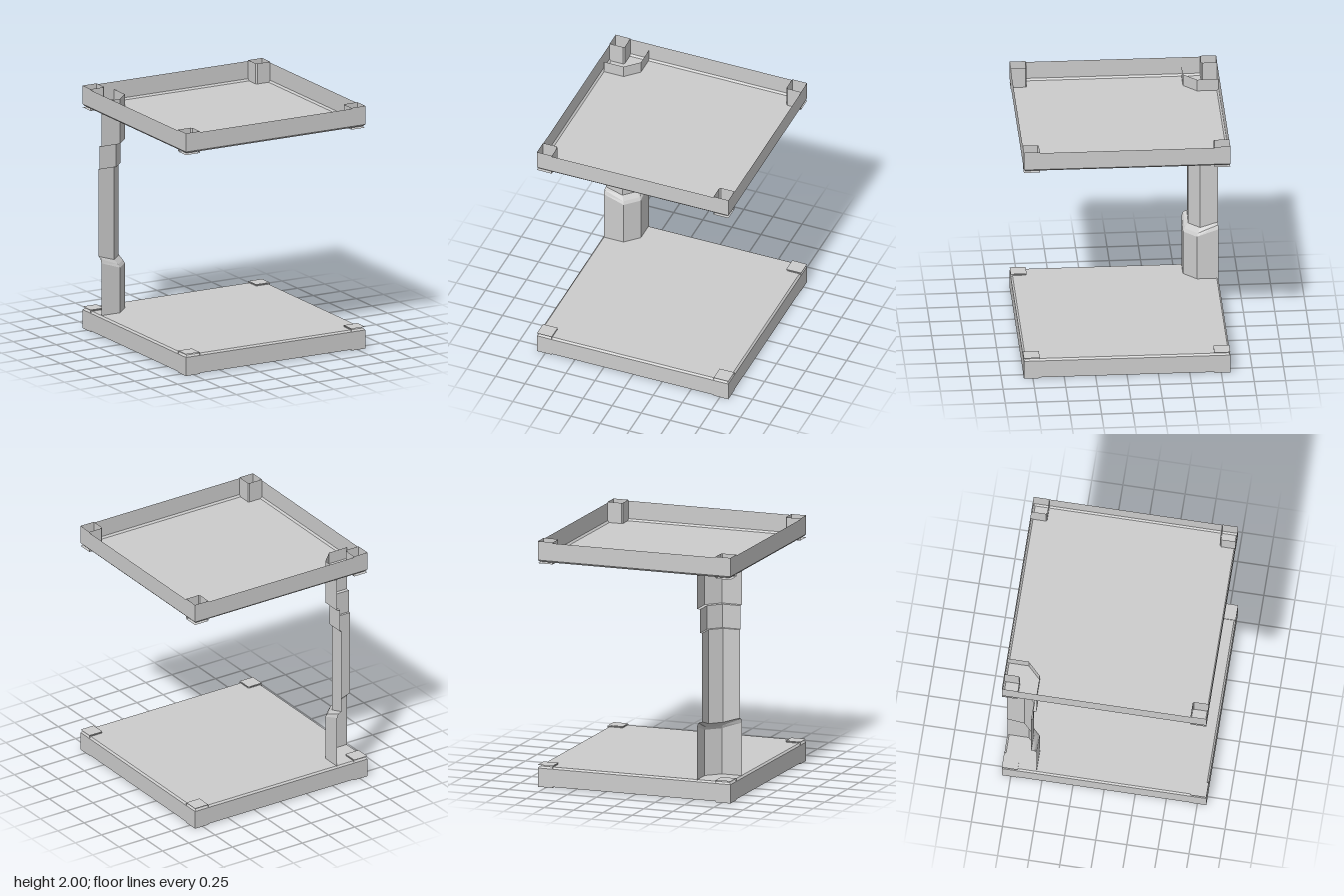
import * as THREE from 'three';

const material = new THREE.MeshStandardMaterial({ color: 0xcccccc, flatShading: true, side: THREE.DoubleSide });

// Skins rows of points ([x, y, z] each) with quads; closed joins each row's ends.
function loft(name, rows, closed = false) {
  const pos = [];
  for (let i = 0; i < rows.length - 1; i++) {
    const n = rows[i].length;
    for (let j = 0; j < (closed ? n : n - 1); j++) {
      const k = (j + 1) % n;
      const a = rows[i][j], b = rows[i][k], c = rows[i + 1][k], d = rows[i + 1][j];
      pos.push(...a, ...b, ...c, ...a, ...c, ...d);
    }
  }
  const geo = new THREE.BufferGeometry();
  geo.setAttribute('position', new THREE.Float32BufferAttribute(pos, 3));
  geo.computeVertexNormals();
  const mesh = new THREE.Mesh(geo, material);
  mesh.name = name;
  return mesh;
}

// Square outline from lo to hi on both axes at height y.
const square = (lo, hi, y) => [[hi, y, hi], [hi, y, lo], [lo, y, lo], [lo, y, hi]];

function flat(name, size, x, y, z) {
  const mesh = new THREE.Mesh(new THREE.PlaneGeometry(size, size), material);
  mesh.rotation.x = -Math.PI / 2;
  mesh.position.set(x, y, z);
  mesh.name = name;
  return mesh;
}

// Sheet tray with its floor at the bottom and walls rising; local y = 0 is the pad level.
function tray(name) {
  const g = new THREE.Group();
  g.name = name;
  const R = 0.822, F = 0.808, P = 0.695;
  g.add(loft('trayWalls', [square(-F, F, 0.012), square(-R, R, 0.027), square(-R, R, 0.172)], true));
  g.add(flat('trayFloor', 2 * F, 0, 0.012, 0));
  for (let i = 0; i < 4; i++) {
    const corner = new THREE.Group();
    corner.name = 'cornerPocket';
    // inner walls of the pocket, slightly rounded where they meet
    const inner = y => [[P, y, R], [P, y, P + 0.01], [P + 0.01, y, P], [R, y, P]];
    const outer = y => [[R, y, P], [R, y, R], [P, y, R]];
    corner.add(loft('pocketInnerWalls', [inner(0.004), inner(0.18)]));
    corner.add(loft('pocketOuterWalls', [outer(0.027), outer(0.18)]));
    corner.add(flat('pocketPad', R - P, (R + P) / 2, 0.001, (R + P) / 2));
    corner.rotation.y = i * Math.PI / 2;
    g.add(corner);
  }
  return g;
}

// Open angled column: two side panels joined by a diagonal one, stepped along its height.
function column() {
  // [height at outer ends, height at the diagonal, panel position, crease position]
  const profile = [
    [0.10, 0.10, -0.535, -0.640],
    [0.60, 0.54, -0.535, -0.640],
    [0.633, 0.565, -0.548, -0.648],
    [0.645, 0.60, -0.578, -0.668],
    [1.365, 1.365, -0.578, -0.668],
    [1.367, 1.367, -0.563, -0.658],
    [1.558, 1.558, -0.563, -0.658],
    [1.560, 1.560, -0.535, -0.640],
    [1.93, 1.93, -0.535, -0.640],
  ];
  const rows = profile.map(([ye, ym, e, c]) => [
    [-0.81, ye, e - 0.01], [c, ym, e - 0.01], [e, ym, c - 0.01], [e, ye, -0.82],
  ]);
  return loft('column', rows);
}

export function createModel() {
  const model = new THREE.Group();
  model.name = 'twoTierStand';
  const top = tray('topTray');
  top.position.y = 1.82;
  // the base is the same tray turned over
  const base = tray('baseTray');
  base.rotation.x = Math.PI;
  base.position.y = 0.18;
  model.add(top, base, column());
  return model;
}
